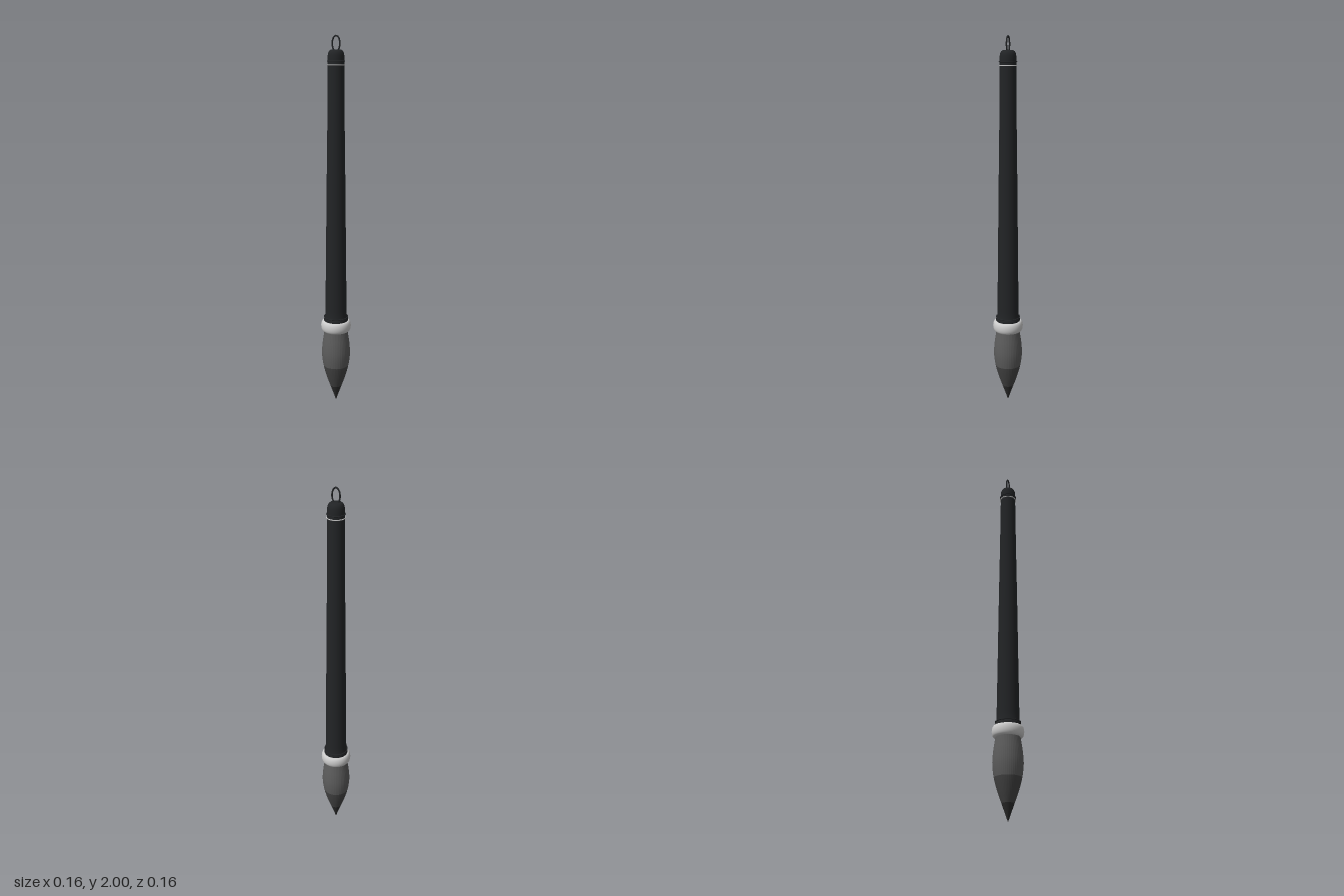
import * as THREE from 'three';

const material = (color) => new THREE.MeshStandardMaterial({ color });

// Smooth surface of revolution from [radius, y] pairs listed bottom to top
function turned(name, pairs, mat, segments = 48) {
  const points = pairs.map(([r, y]) => new THREE.Vector2(r, y));
  const mesh = new THREE.Mesh(new THREE.LatheGeometry(points, segments), mat);
  mesh.name = name;
  return mesh;
}

// Thin horizontal band around the handle
function band(name, radius, tube, y, mat) {
  const mesh = new THREE.Mesh(new THREE.TorusGeometry(radius, tube, 10, 48), mat);
  mesh.rotation.x = Math.PI / 2;
  mesh.position.y = y;
  mesh.name = name;
  return mesh;
}

// Section of the bristle tuft, with fine lengthwise grooves between the hairs
function tuftSection(name, curve, from, to, mat) {
  const points = [];
  for (let i = 0; i <= 20; i++) {
    const p = curve.getPoint(from + (to - from) * i / 20);
    points.push(new THREE.Vector2(Math.max(p.x, 0), p.y));
  }
  const geometry = new THREE.LatheGeometry(points, 144);
  const pos = geometry.attributes.position;
  for (let i = 0; i < pos.count; i++) {
    const x = pos.getX(i), z = pos.getZ(i);
    const angle = Math.atan2(z, x);
    const groove = 1 - 0.012 * (0.5 + 0.5 * Math.cos(angle * 48));
    pos.setX(i, x * groove);
    pos.setZ(i, z * groove);
  }
  geometry.computeVertexNormals();
  const mesh = new THREE.Mesh(geometry, mat);
  mesh.name = name;
  return mesh;
}

export function createModel() {
  const group = new THREE.Group();
  group.name = 'paintBrush';

  const dark = material(0x222426);
  const pale = material(0xcccccc);

  // Bristles: pointed tip, full belly, drawn in under the collar
  const tuftCurve = new THREE.SplineCurve([
    [0, 0], [0.014, 0.04], [0.032, 0.09], [0.053, 0.15], [0.07, 0.215],
    [0.078, 0.28], [0.075, 0.34], [0.068, 0.39], [0.062, 0.43],
  ].map(([x, y]) => new THREE.Vector2(x, y)));
  group.add(tuftSection('bristleTip', tuftCurve, 0, 0.25, material(0x2b2b2b)));
  group.add(tuftSection('bristleMiddle', tuftCurve, 0.25, 0.5, material(0x444444)));
  group.add(tuftSection('bristleRoot', tuftCurve, 0.5, 1, material(0x5c5c5c)));

  // Rounded collar holding the bristles
  const collar = [[0.05, 0.418], [0.068, 0.418]];
  for (let i = 0; i <= 12; i++) {
    const a = -Math.PI / 2 + Math.PI * i / 12;
    collar.push([0.068 + 0.014 * Math.cos(a), 0.448 + 0.03 * Math.sin(a)]);
  }
  collar.push([0.05, 0.478]);
  group.add(turned('collar', collar, pale));

  // Long tapering handle with a small flared foot
  group.add(turned('handle', [
    [0.065, 0.47], [0.066, 0.485], [0.063, 0.495], [0.059, 0.505], [0.058, 0.54],
    [0.054, 0.85], [0.05, 1.2], [0.045, 1.55], [0.042, 1.85], [0.042, 1.885],
  ], dark));
  group.add(band('footBand', 0.064, 0.003, 0.498, dark));

  // Rounded end cap
  group.add(turned('endCap', [
    [0.042, 1.88], [0.042, 1.9], [0.039, 1.913], [0.034, 1.922], [0.026, 1.927], [0, 1.928],
  ], dark));
  for (const y of [1.852, 1.87]) group.add(band('endBand', 0.0445, 0.0025, y, y < 1.86 ? pale : dark));

  // Oval hanging loop, upright and facing the front
  const oval = [];
  for (let i = 0; i < 24; i++) {
    const a = i / 24 * Math.PI * 2;
    oval.push(new THREE.Vector3(0.021 * Math.cos(a), 1.958 + 0.038 * Math.sin(a), 0));
  }
  const loop = new THREE.Mesh(
    new THREE.TubeGeometry(new THREE.CatmullRomCurve3(oval, true), 64, 0.004, 10, true), dark);
  loop.name = 'hangingLoop';
  group.add(loop);

  return group;
}
